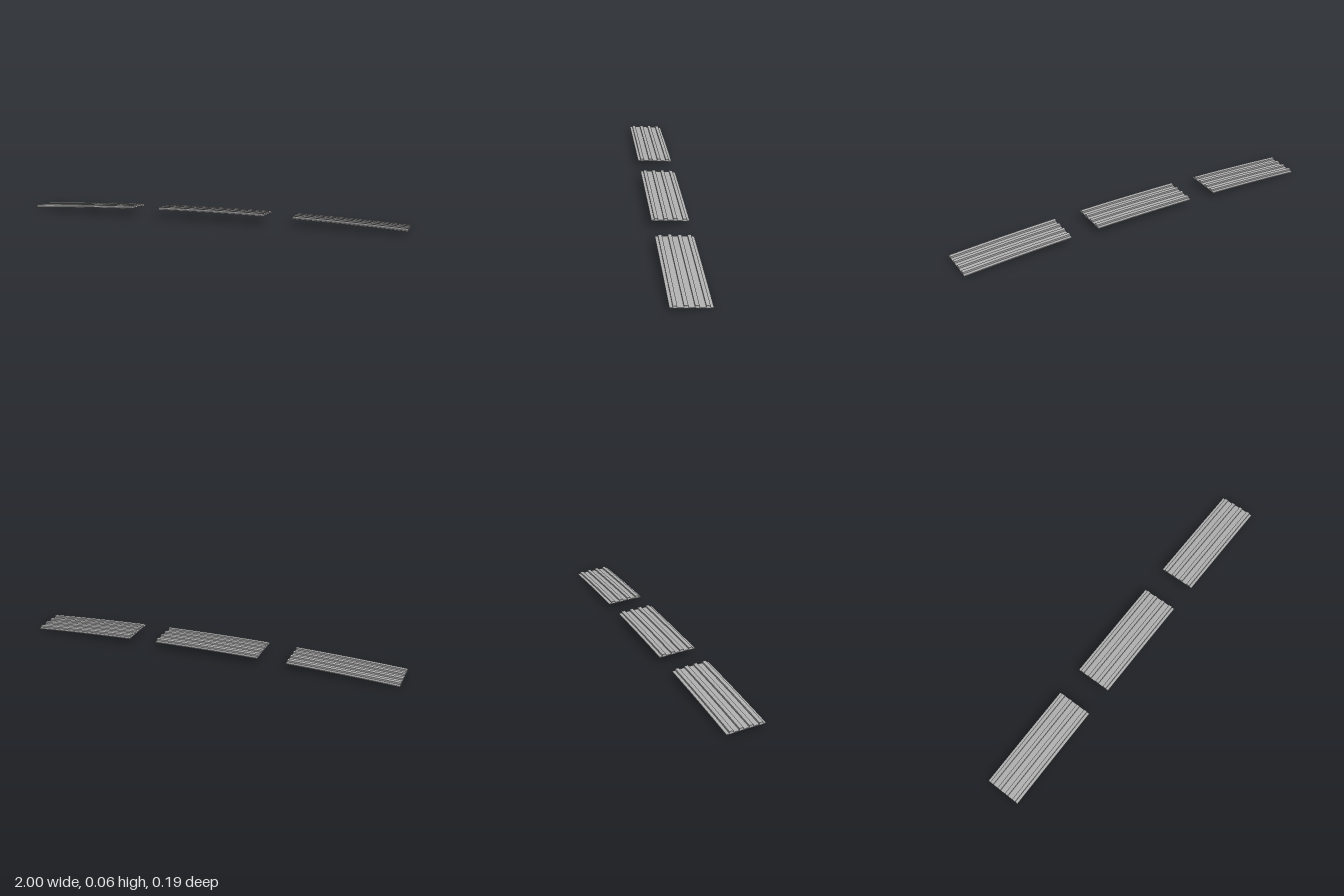
import * as THREE from 'three';

const HALF_WIDTH = 0.095;
const THICKNESS = 0.005;
const RIB_HEIGHT = 0.0085;
const RIB_HALF = 0.0093;
const RIBS = [-0.071, -0.0237, 0.0237, 0.071];

// Height of the bowed, forward-raised sheet at a given spot
const sheetHeight = (x, z) => 0.009 + 0.076 * z - 0.2 * z * z + 0.031 * (1 - x * x);

// Cross-section of a ribbed sheet, flat before bending
function ribbedProfile() {
  const edges = RIBS.flatMap((c) => [c - RIB_HALF, c + RIB_HALF]);
  const points = [new THREE.Vector2(-HALF_WIDTH, 0)];
  edges.forEach((e) => points.push(new THREE.Vector2(e, 0)));
  points.push(new THREE.Vector2(HALF_WIDTH, 0), new THREE.Vector2(HALF_WIDTH, THICKNESS));
  for (const c of [...RIBS].reverse()) {
    const low = THICKNESS, high = THICKNESS + RIB_HEIGHT;
    points.push(
      new THREE.Vector2(c + RIB_HALF, low), new THREE.Vector2(c + RIB_HALF, high),
      new THREE.Vector2(c - RIB_HALF, high), new THREE.Vector2(c - RIB_HALF, low),
    );
  }
  points.push(new THREE.Vector2(-HALF_WIDTH, THICKNESS));
  return new THREE.Shape(points);
}

// Extrude the section along x, then bend it onto the bowed surface
function panelGeometry(centreX, length) {
  const geometry = new THREE.ExtrudeGeometry(ribbedProfile(), { depth: length, steps: 6, bevelEnabled: false });
  geometry.translate(0, 0, -length / 2);
  geometry.rotateY(Math.PI / 2);
  geometry.translate(centreX, 0, 0);
  const p = geometry.attributes.position;
  for (let i = 0; i < p.count; i++) {
    p.setY(i, p.getY(i) + sheetHeight(p.getX(i), p.getZ(i)));
  }
  geometry.computeVertexNormals();
  return geometry;
}

export function createModel() {
  const group = new THREE.Group();
  group.name = 'ribbedPanels';
  const metal = new THREE.MeshStandardMaterial({ color: 0xb0b0b0, flatShading: true });
  metal.name = 'grey metal';

  // Three separate panels along one shallow arch
  const panels = [['rightPanel', -0.717], ['middlePanel', 0], ['leftPanel', 0.717]];
  for (const [name, x] of panels) {
    const mesh = new THREE.Mesh(panelGeometry(x, 0.566), metal);
    mesh.name = name;
    group.add(mesh);
  }
  return group;
}
